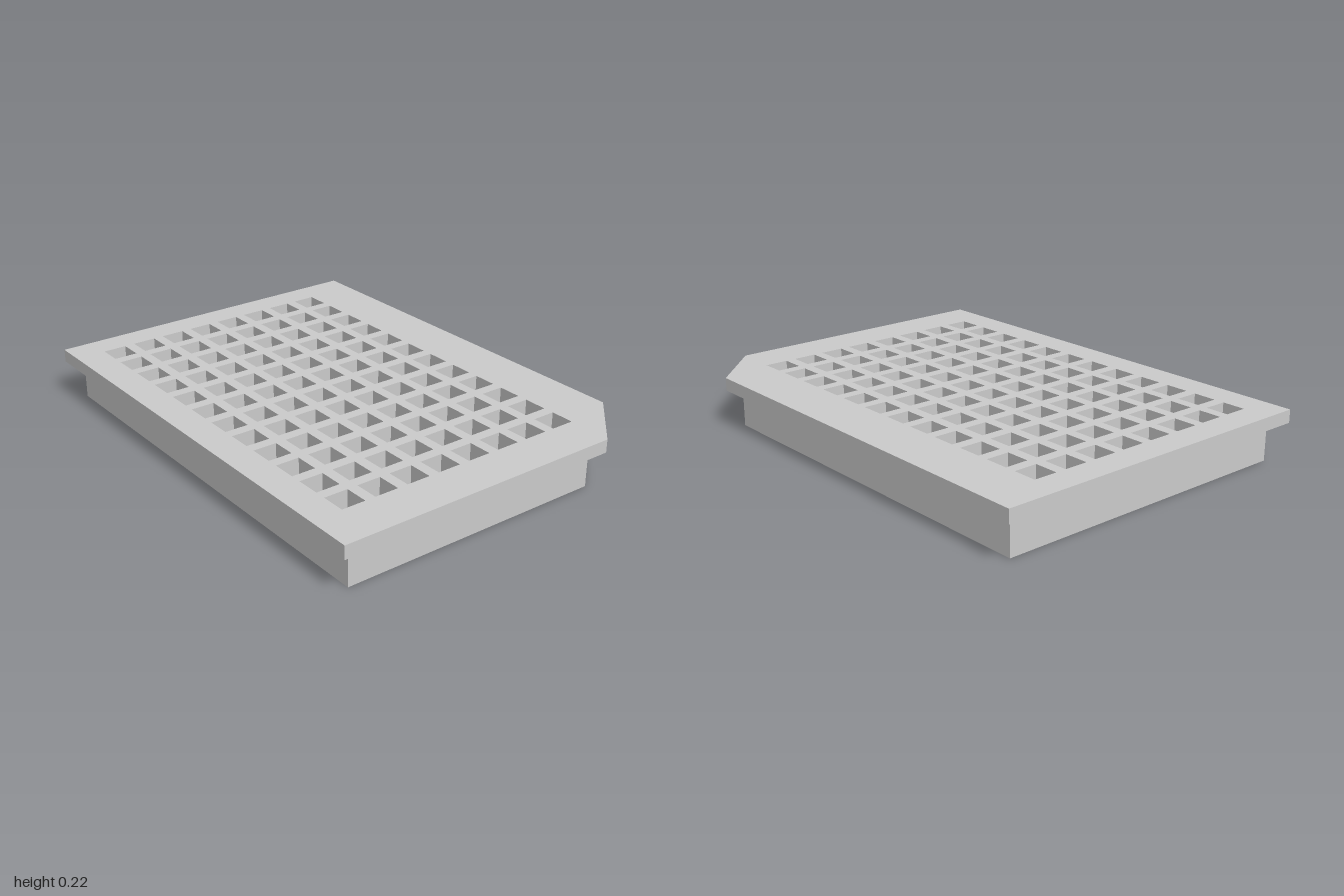
import * as THREE from 'three';
import { mergeGeometries } from 'three/addons/utils/BufferGeometryUtils.js';

const DECK_BOTTOM = 0.16, DECK_TOP = 0.215;
const WELL = 0.1, WELL_FLOOR = 0.06;
const COLUMNS = 8, ROWS = 12;

// Rectangle with one cut corner at +x, +z, as (x, -z) points
function outline(hx, hz, cut) {
  return [[-hx, -hz], [hx - cut, -hz], [hx, -hz + cut], [hx, hz], [-hx, hz]]
    .map(([x, y]) => new THREE.Vector2(x, y));
}

// Upright wall following a closed outline, open at top and bottom
function wallGeometry(points, height) {
  const panels = points.map((a, i) => {
    const b = points[(i + 1) % points.length];
    const panel = new THREE.PlaneGeometry(a.distanceTo(b), height);
    panel.rotateY(Math.atan2(b.y - a.y, b.x - a.x));
    return panel.translate((a.x + b.x) / 2, height / 2, -(a.y + b.y) / 2);
  });
  return mergeGeometries(panels);
}

// Square cup: a box without its top face
function cupGeometry(size, height) {
  const box = new THREE.BoxGeometry(size, height, size);
  const index = Array.from(box.index.array);
  index.splice(12, 6);
  box.setIndex(index);
  return box;
}

export function createModel() {
  const group = new THREE.Group();
  const solid = new THREE.MeshStandardMaterial({ color: 0xcccccc });
  const thin = new THREE.MeshStandardMaterial({ color: 0xcccccc, side: THREE.DoubleSide });
  const add = (name, geometry, material) => {
    const mesh = new THREE.Mesh(geometry, material);
    mesh.name = name;
    group.add(mesh);
  };

  // Well centres
  const centres = [];
  for (let c = 0; c < COLUMNS; c++) {
    for (let r = 0; r < ROWS; r++) centres.push([-0.55 + c * 0.1436, -0.828 + r * 0.1448]);
  }

  // Top plate with a grid of square openings
  const plate = new THREE.Shape(outline(0.73, 1, 0.23));
  const h = WELL / 2;
  for (const [x, z] of centres) {
    plate.holes.push(new THREE.Path([[-h, -h], [-h, h], [h, h], [h, -h]]
      .map(([dx, dy]) => new THREE.Vector2(x + dx, -z + dy))));
  }
  const deck = new THREE.ExtrudeGeometry(plate, { depth: DECK_TOP - DECK_BOTTOM, bevelEnabled: false });
  deck.rotateX(-Math.PI / 2).translate(0, DECK_BOTTOM, 0);
  add('topPlate', deck, solid);

  // Thin skirt the plate stands on
  add('skirt', wallGeometry(outline(0.67, 0.94, 0.2), DECK_BOTTOM), thin);

  // Wells hanging under the openings
  const depth = DECK_BOTTOM - WELL_FLOOR;
  const cups = centres.map(([x, z]) => cupGeometry(WELL, depth).translate(x, WELL_FLOOR + depth / 2, z));
  add('wells', mergeGeometries(cups), thin);

  return group;
}
